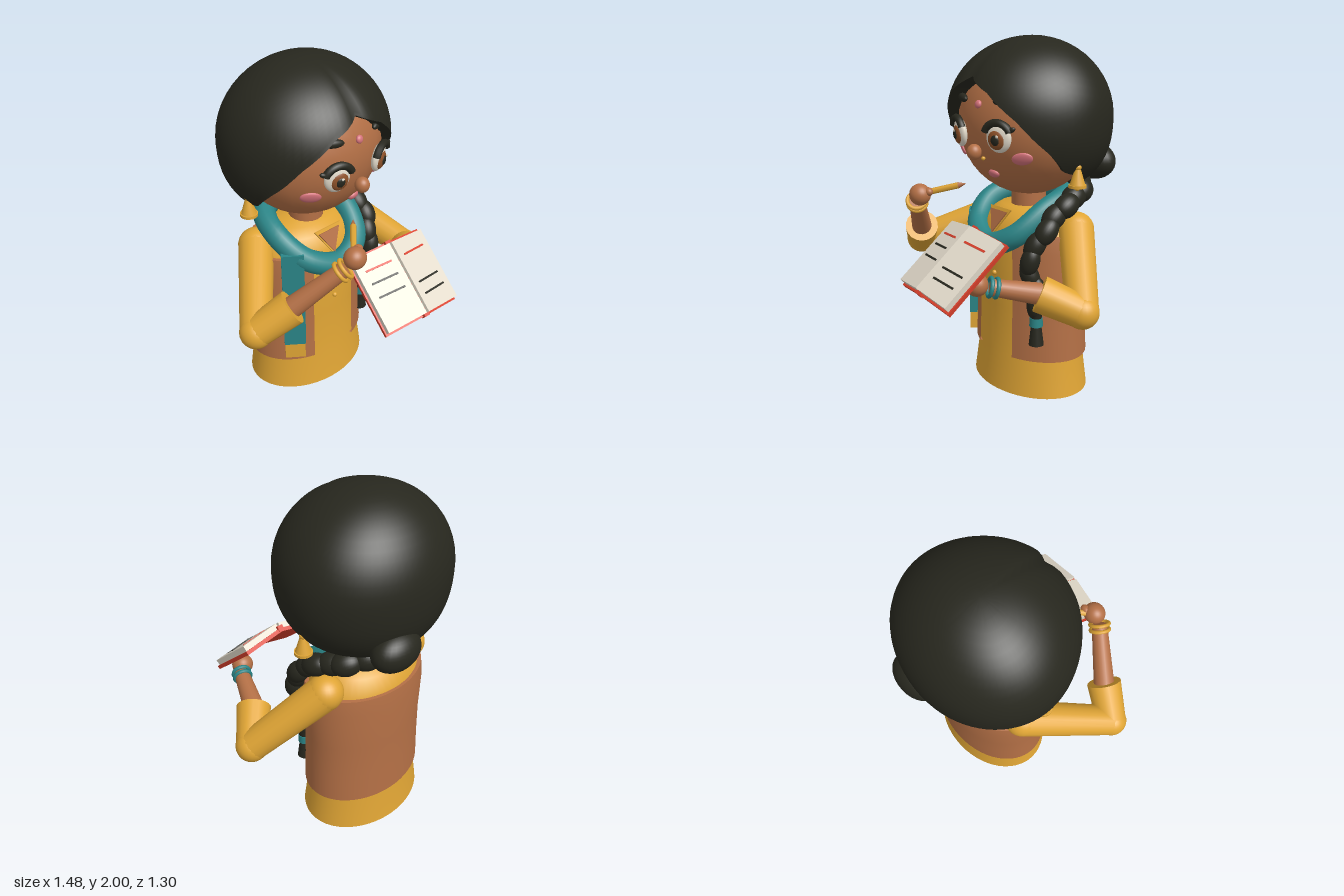
import * as THREE from 'three';
import { toCreasedNormals } from 'three/addons/utils/BufferGeometryUtils.js';

const V = (x, y, z) => new THREE.Vector3(x, y, z);
const mat = (name, color, side = THREE.FrontSide) => {
  const m = new THREE.MeshStandardMaterial({ color, side });
  m.name = name;
  return m;
};

export function createModel() {
  const root = new THREE.Group();
  root.name = 'writer';
  const hair = mat('black', 0x27271e), skin = mat('skin', 0xb47046);
  const mustard = mat('mustard', 0xe0a535), teal = mat('teal', 0x2b8587);
  const brown = mat('vestBrown', 0xb47046, THREE.DoubleSide);
  const red = mat('red', 0xd8402c), cream = mat('cream', 0xe5ddcd);
  const pink = mat('pink', 0xd4727a), iris = mat('irisBrown', 0x8f5229);

  const add = (name, geo, m, parent = root) => {
    const mesh = new THREE.Mesh(geo, m);
    mesh.name = name;
    parent.add(mesh);
    return mesh;
  };
  const ball = (name, p, r, m, parent = root) => {
    const b = add(name, new THREE.SphereGeometry(1, 28, 20), m, parent);
    b.position.copy(p);
    b.scale.copy(typeof r === 'number' ? V(r, r, r) : r);
    return b;
  };
  const box = (name, w, h, d, p, m, parent = root) => {
    const b = add(name, new THREE.BoxGeometry(w, h, d), m, parent);
    b.position.copy(p);
    return b;
  };
  // tapered rod from a to b
  const rod = (name, a, b, ra, rb, m, seg = 18) => {
    const d = b.clone().sub(a);
    const c = add(name, new THREE.CylinderGeometry(rb, ra, d.length(), seg), m);
    c.position.copy(a).addScaledVector(d, 0.5);
    c.quaternion.setFromUnitVectors(V(0, 1, 0), d.normalize());
    return c;
  };
  const lathe = (name, pts, zScale, m, start = 0, len = Math.PI * 2) => {
    const g = new THREE.LatheGeometry(pts.map(p => new THREE.Vector2(...p)), 48, start, len);
    const l = add(name, toCreasedNormals(g, 0.7), m);
    l.scale.z = zScale;
    l.position.set(-0.01, 0, -0.21);
  };

  // Dress, vest and neck
  lathe('dress', [[0, 0], [0.39, 0], [0.357, 0.22], [0.342, 0.5], [0.35, 0.85],
    [0.335, 0.94], [0.27, 1.02], [0.2, 1.06], [0, 1.08]], 0.756, mustard);
  lathe('vest', [[0.36, 0.22], [0.385, 0.22], [0.378, 0.4], [0.374, 0.6], [0.382, 0.85],
    [0.37, 0.94], [0.345, 0.94]], 0.73, brown, 0.41, Math.PI * 2 - 0.82);
  rod('neck', V(-0.01, 1, -0.19), V(-0.01, 1.22, -0.19), 0.1, 0.1, skin);
  for (const [name, s, z, m] of [['necklineTrim', 1.25, 0.025, mustard], ['neckline', 1, 0.035, skin]]) {
    const v = new THREE.Shape([[0, -0.07], [0.075, 0.06], [-0.075, 0.06]]
      .map(p => new THREE.Vector2(p[0] * s, p[1] * s)));
    const p = add(name, new THREE.ExtrudeGeometry(v, { depth: 0.008, bevelEnabled: false }), m);
    p.position.set(-0.02, 0.99, z);
    p.rotation.x = -0.4;
  }
  for (const y of [0.69, 0.61]) ball('button', V(-0.01, y, 0.055), 0.014, mustard);

  // Scarf with one end hanging over the curve of the vest
  const scarfPath = new THREE.CatmullRomCurve3([V(0, 1.13, -0.36), V(0.19, 1.13, -0.29),
    V(0.22, 1.07, -0.12), V(0.16, 0.94, 0.04), V(-0.01, 0.87, 0.09), V(-0.2, 0.94, 0.03),
    V(-0.28, 1.06, -0.12), V(-0.22, 1.12, -0.3)], true);
  add('scarf', new THREE.TubeGeometry(scarfPath, 64, 0.065, 12, true), teal);
  const end = new THREE.Group();
  end.name = 'scarfEnd';
  end.position.set(-0.283, 0, 0.01);
  end.rotation.y = -0.65;
  root.add(end);
  box('scarfStrip', 0.125, 0.63, 0.045, V(0, 0.69, 0), teal, end);
  box('scarfFringe', 0.118, 0.105, 0.04, V(0, 0.325, 0), mustard, end);

  // Head
  const C = V(0, 1.53, -0.17), R = V(0.42, 0.4, 0.37);
  ball('head', C, R, skin);
  // group resting on the face, its z axis pointing outward
  const onFace = (name, x, y, out = 0) => {
    const g = new THREE.Group(), u = (x - C.x) / R.x, v = (y - C.y) / R.y;
    const w = Math.sqrt(1 - u * u - v * v);
    const n = V(u / R.x, v / R.y, w / R.z).normalize();
    g.name = name;
    g.position.set(x, y, C.z + w * R.z).addScaledVector(n, out);
    g.quaternion.setFromUnitVectors(V(0, 0, 1), n);
    root.add(g);
    return g;
  };
  for (const [x, s] of [[-0.125, -1], [0.185, 1]]) {
    const eye = onFace('eye', x, 1.49, 0.012);
    ball('eyeWhite', V(0, 0, 0), V(0.072, 0.079, 0.03), cream, eye);
    ball('iris', V(-0.005 * s, -0.008, 0.018), V(0.049, 0.052, 0.02), iris, eye);
    ball('pupil', V(-0.005 * s, -0.008, 0.03), V(0.026, 0.029, 0.014), hair, eye);
    ball('glint', V(0.012, 0.014, 0.042), V(0.008, 0.008, 0.004), cream, eye);
    const lash = add('lashes', new THREE.TorusGeometry(0.08, 0.021, 8, 18, 2.3), hair, eye);
    lash.rotation.z = 0.42;
    lash.position.z = 0.014;
    ball('lashTip', V(0.082 * s, 0.045, 0.014), V(0.026, 0.014, 0.014), hair, eye).rotation.z = 0.4 * s;
    const brow = onFace('brow', x + 0.005 * s, 1.668, 0.014);
    ball('browHair', V(0, 0, 0), V(0.06, 0.023, 0.02), hair, brow).rotation.z = 0.15 * s;
  }
  for (const x of [-0.23, 0.268]) ball('cheek', V(0, 0, 0), V(0.057, 0.036, 0.014), pink, onFace('blush', x, 1.38));
  ball('nose', V(0.03, 1.4, 0.215), V(0.04, 0.043, 0.04), skin);
  ball('noseStud', V(0.078, 1.37, 0.19), 0.011, mustard);
  ball('lips', V(0, 0, 0), V(0.036, 0.026, 0.018), pink, onFace('mouth', 0.068, 1.28));
  ball('foreheadDot', V(0, 0, 0), V(0.022, 0.022, 0.015), pink, onFace('foreheadMark', 0.03, 1.648, 0.004));

  // Hair cap: rings run from the crown to a hairline that varies around the head
  const line = [[0, 1.79], [20, 1.715], [40, 1.58], [52, 1.475], [60, 1.42], [76, 1.3],
    [90, 1.28], [105, 1.245], [120, 1.215], [180, 1.2]];
  const hairline = a => {
    const i = Math.max(1, line.findIndex(p => p[0] >= a));
    const [[a0, y0], [a1, y1]] = [line[i - 1], line[i]];
    return y0 + (y1 - y0) * (a - a0) / (a1 - a0);
  };
  const pos = [], idx = [], N = 72, M = 22;
  for (let j = 0; j <= M + 1; j++) for (let i = 0; i < N; i++) {
    const t = i / N * Math.PI * 2, a = Math.min(t, Math.PI * 2 - t);
    const low = Math.acos((hairline(Math.min(180, a * 180 / Math.PI)) - 1.57) / 0.43);
    const c = Math.cos(low * Math.min(j, M) / M);
    const part = 1 - 0.04 * Math.exp(-((a / 0.09) ** 2)) * Math.min(1, j / 6);
    const ring = e => (1 - Math.abs(c) ** e) ** (1 / e) * part * (j > M ? 0.72 : 1);
    const f = Math.max(0, Math.cos(t));
    pos.push(-0.007 + 0.483 * ring(c < 0 ? 2.35 : 2) * Math.sin(t), 1.57 + 0.43 * c * (j > M ? 0.95 : 1),
      -0.205 + ring(c < 0 ? 2.6 : 2) * (0.42 * Math.cos(t) + 0.06 * f * f));
    if (j <= M) {
      const p = j * N + i, q = j * N + (i + 1) % N;
      idx.push(p, p + N, q, q, p + N, q + N);
    }
  }
  const cap = new THREE.BufferGeometry();
  cap.setAttribute('position', new THREE.Float32BufferAttribute(pos, 3));
  cap.setIndex(idx);
  add('hairCap', toCreasedNormals(cap, 0.8), hair);
  ball('bun', V(0.14, 1.295, -0.55), V(0.15, 0.108, 0.102), hair);

  // Braid over the left shoulder
  const braid = new THREE.CatmullRomCurve3([V(0.19, 1.19, -0.4), V(0.28, 1.155, -0.31), V(0.32, 1.09, -0.15),
    V(0.31, 0.94, -0.01), V(0.275, 0.8, 0.04), V(0.295, 0.67, 0.0), V(0.285, 0.56, -0.01)]);
  for (let i = 0; i < 11; i++) {
    const t = i / 10, p = braid.getPointAt(t), w = 0.07 - 0.024 * t;
    p.x += (i % 2 ? 0.01 : -0.01);
    const b = ball('braidKnot', p, V(w, 0.085, w), hair);
    b.quaternion.setFromUnitVectors(V(0, 1, 0), braid.getTangentAt(t));
  }
  rod('braidTie', V(0.275, 0.44, -0.02), V(0.275, 0.49, -0.02), 0.038, 0.036, teal);
  rod('braidTail', V(0.278, 0.33, -0.02), V(0.276, 0.45, -0.02), 0.042, 0.028, hair);
  rod('braidEnd', V(0.276, 0.48, -0.02), V(0.284, 0.56, -0.012), 0.03, 0.038, hair);

  // Earrings
  for (const x of [-0.412, 0.408]) {
    rod('earring', V(x, 1.235, -0.18), V(x, 1.32, -0.18), 0.042, 0.016, mustard);
    rod('earringRim', V(x, 1.222, -0.18), V(x, 1.237, -0.18), 0.048, 0.048, mustard);
    ball('earringTop', V(x, 1.33, -0.18), 0.02, mustard);
    ball('earringDrop', V(x, 1.218, -0.18), 0.014, mustard);
  }

  // Arms: shoulder, elbow, cuff, wrist, hand, bracelet colour and radius
  const arms = [
    ['right', V(-0.33, 0.96, -0.25), V(-0.655, 0.765, 0.15), V(-0.485, 0.895, 0.245), V(-0.265, 1.11, 0.4), V(-0.208, 1.155, 0.412), mustard, 0.052],
    ['left', V(0.33, 0.965, -0.25), V(0.65, 0.642, -0.01), V(0.5, 0.73, 0.145), V(0.395, 0.785, 0.375), V(0.345, 0.795, 0.425), teal, 0.047]];
  for (const [side, shoulder, elbow, cuff, wrist, hand, band, r] of arms) {
    ball(side + 'Shoulder', shoulder, 0.1, mustard);
    rod(side + 'UpperSleeve', shoulder, elbow, 0.1, 0.086, mustard);
    ball(side + 'Elbow', elbow, 0.088, mustard);
    rod(side + 'LowerSleeve', elbow, cuff, 0.085, 0.096, mustard);
    rod(side + 'Forearm', cuff, wrist, 0.058, 0.043, skin);
    ball(side + 'Hand', hand, V(0.062, 0.06, 0.058), skin);
    const dir = wrist.clone().sub(cuff).normalize();
    for (const d of [-0.03, 0.003]) {
      const b = add(side + 'Bracelet', new THREE.TorusGeometry(r, 0.011, 8, 24), band);
      b.position.copy(wrist).addScaledVector(dir, d);
      b.quaternion.setFromUnitVectors(V(0, 0, 1), dir);
    }
  }
  ball('rightThumb', V(-0.165, 1.175, 0.385), V(0.032, 0.024, 0.024), skin);

  // Pencil
  const tip = V(-0.04, 1.22, 0.225), butt = V(-0.235, 1.15, 0.43);
  const neck = butt.clone().lerp(tip, 0.86);
  rod('pencil', butt, neck, 0.017, 0.017, mustard, 6);
  rod('pencilPoint', neck, tip, 0.017, 0.002, skin, 6);

  // Open book, tilted up toward the front
  const book = new THREE.Group();
  book.name = 'book';
  const U = V(0.06, 0.66, -0.75).normalize();
  const Nrm = V(1, 0, 0.08).cross(U).normalize();
  book.quaternion.setFromRotationMatrix(new THREE.Matrix4().makeBasis(U.clone().cross(Nrm), U, Nrm));
  book.position.set(0.138, 0.9, 0.484);
  root.add(book);
  box('spine', 0.035, 0.46, 0.036, V(0, 0, -0.037), red, book);
  for (const [s, rows] of [[-1, [0.125, 0.05, -0.03]], [1, [0.125, -0.045, -0.115]]]) {
    const half = new THREE.Group();
    half.name = s < 0 ? 'rightHalf' : 'leftHalf';
    half.rotation.y = s * 0.16;
    book.add(half);
    box('pages', 0.25, 0.425, 0.034, V(s * 0.133, 0, -0.017), cream, half);
    box('cover', 0.265, 0.45, 0.022, V(s * 0.135, 0, -0.045), red, half);
    rows.forEach((y, i) => box('writtenLine', 0.165, 0.011, 0.006,
      V(s * 0.13, y, 0.001), i ? hair : red, half).rotation.z = s * 0.04);
  }
  return root;
}
